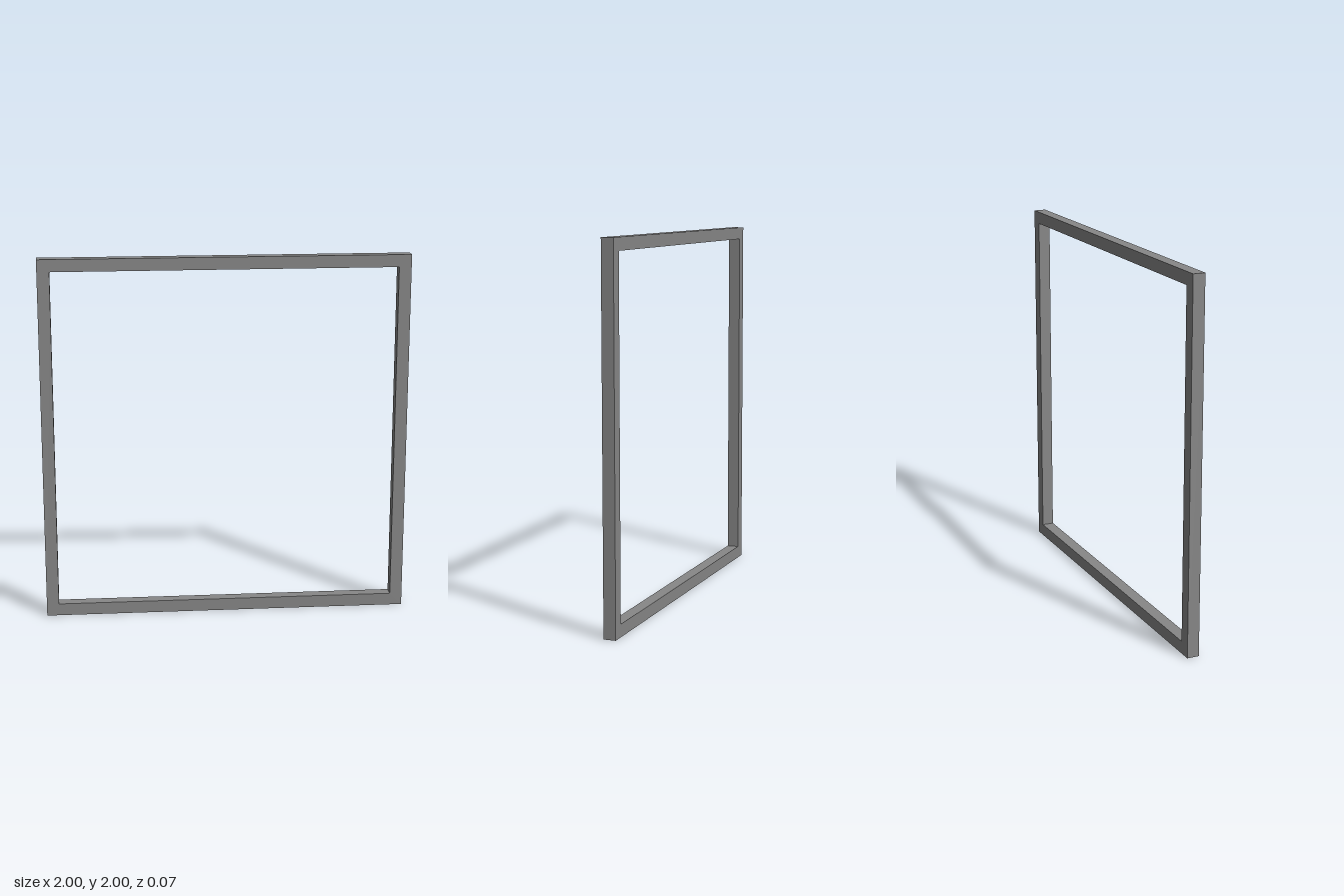
import * as THREE from 'three';

export function createModel() {
  const group = new THREE.Group();
  group.name = 'squareFrame';
  const size = 2, bar = 0.067, depth = 0.066;

  const square = (Path, half) => new Path([
    new THREE.Vector2(-half, -half),
    new THREE.Vector2(half, -half),
    new THREE.Vector2(half, half),
    new THREE.Vector2(-half, half),
  ]);

  // Square outline with a square opening, extruded to the bar depth
  const outline = square(THREE.Shape, size / 2);
  outline.holes.push(square(THREE.Path, size / 2 - bar));
  const geometry = new THREE.ExtrudeGeometry(outline, { depth, bevelEnabled: false });
  geometry.translate(0, size / 2, -depth / 2);

  const frame = new THREE.Mesh(geometry, new THREE.MeshStandardMaterial({ color: 0x878787 }));
  frame.name = 'frame';
  group.add(frame);
  return group;
}
